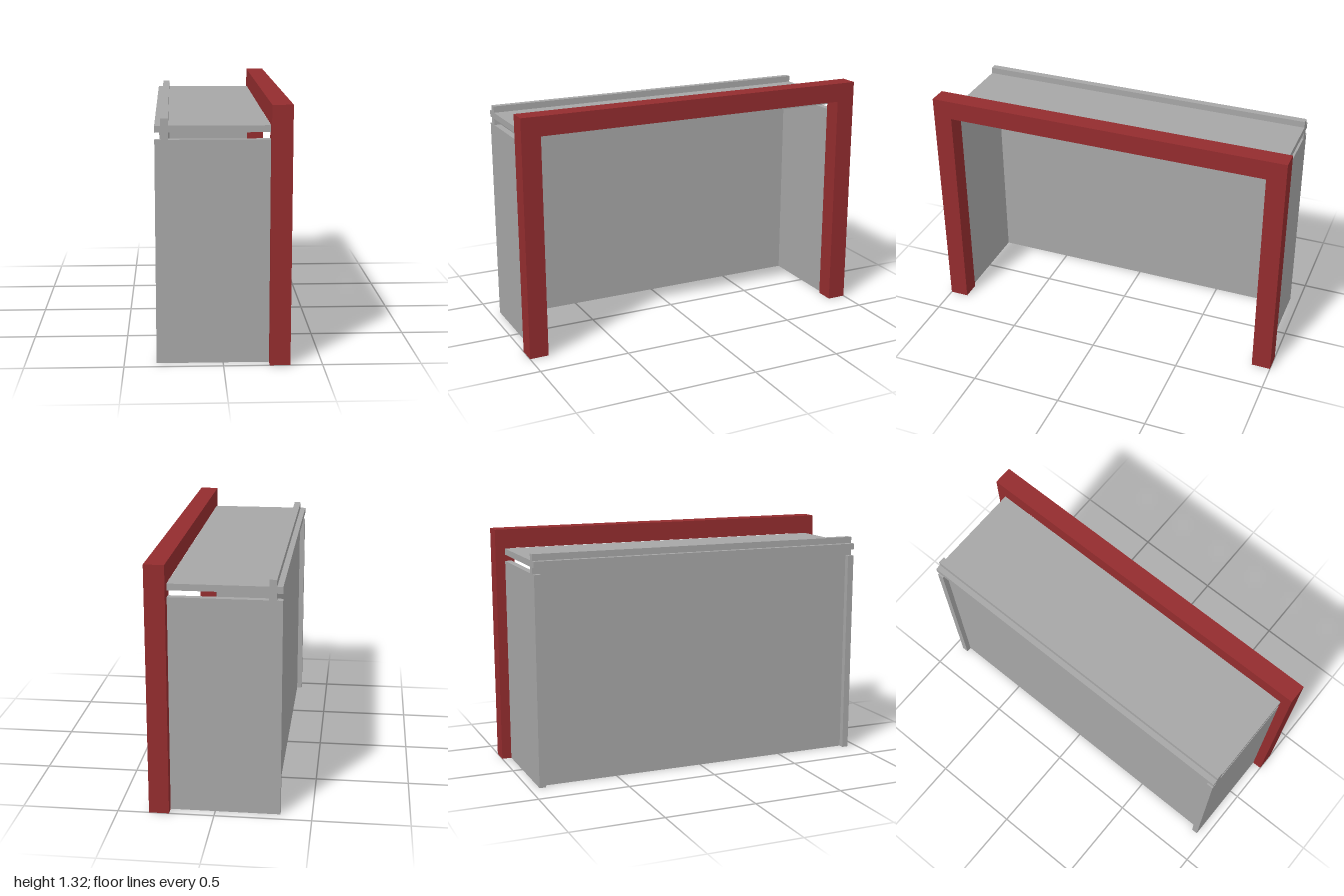
import * as THREE from 'three';

export function createModel() {
  const model = new THREE.Group();
  model.name = 'openShelter';

  const grey = new THREE.MeshStandardMaterial({ color: 0xa6a6a6 });
  grey.name = 'panel grey';
  const red = new THREE.MeshStandardMaterial({ color: 0x932c2e });
  red.name = 'frame red';

  // Box given by its minimum and maximum corners
  function box(name, material, [x0, y0, z0], [x1, y1, z1]) {
    const mesh = new THREE.Mesh(new THREE.BoxGeometry(x1 - x0, y1 - y0, z1 - z0), material);
    mesh.position.set((x0 + x1) / 2, (y0 + y1) / 2, (z0 + z1) / 2);
    mesh.name = name;
    model.add(mesh);
  }

  const back = -0.337, front = 0.233, end = 0.947, t = 0.036;

  // Portal frame: one U-shaped extrusion in the z-y plane
  const w = 0.105, top = 1.316;
  const outline = [[-1, 0], [-1, top], [1, top], [1, 0], [1 - w, 0], [1 - w, top - w], [w - 1, top - w], [w - 1, 0]];
  const shape = new THREE.Shape(outline.map(([z, y]) => new THREE.Vector2(z, y)));
  const frame = new THREE.Mesh(
    new THREE.ExtrudeGeometry(shape, { depth: 0.337 - front, bevelEnabled: false }), red);
  frame.rotation.y = Math.PI / 2;
  frame.position.x = front;
  frame.name = 'portalFrame';
  model.add(frame);

  // Side walls, stopping short of the roof
  box('leftSideWall', grey, [back, 0, end - t], [front, 1.141, end]);
  box('rightSideWall', grey, [back, 0, -end], [front, 1.141, t - end]);

  // Back wall between the sides, its upper strip running full length through the roof
  box('backWall', grey, [-0.307, 0, t - end], [-0.269, 1.141, end - t]);
  box('backWallTop', grey, [-0.307, 1.141, -end], [-0.269, 1.245, end]);

  // Roof slab
  box('roof', grey, [back, 1.176, -end], [front, 1.21, end]);

  return model;
}
